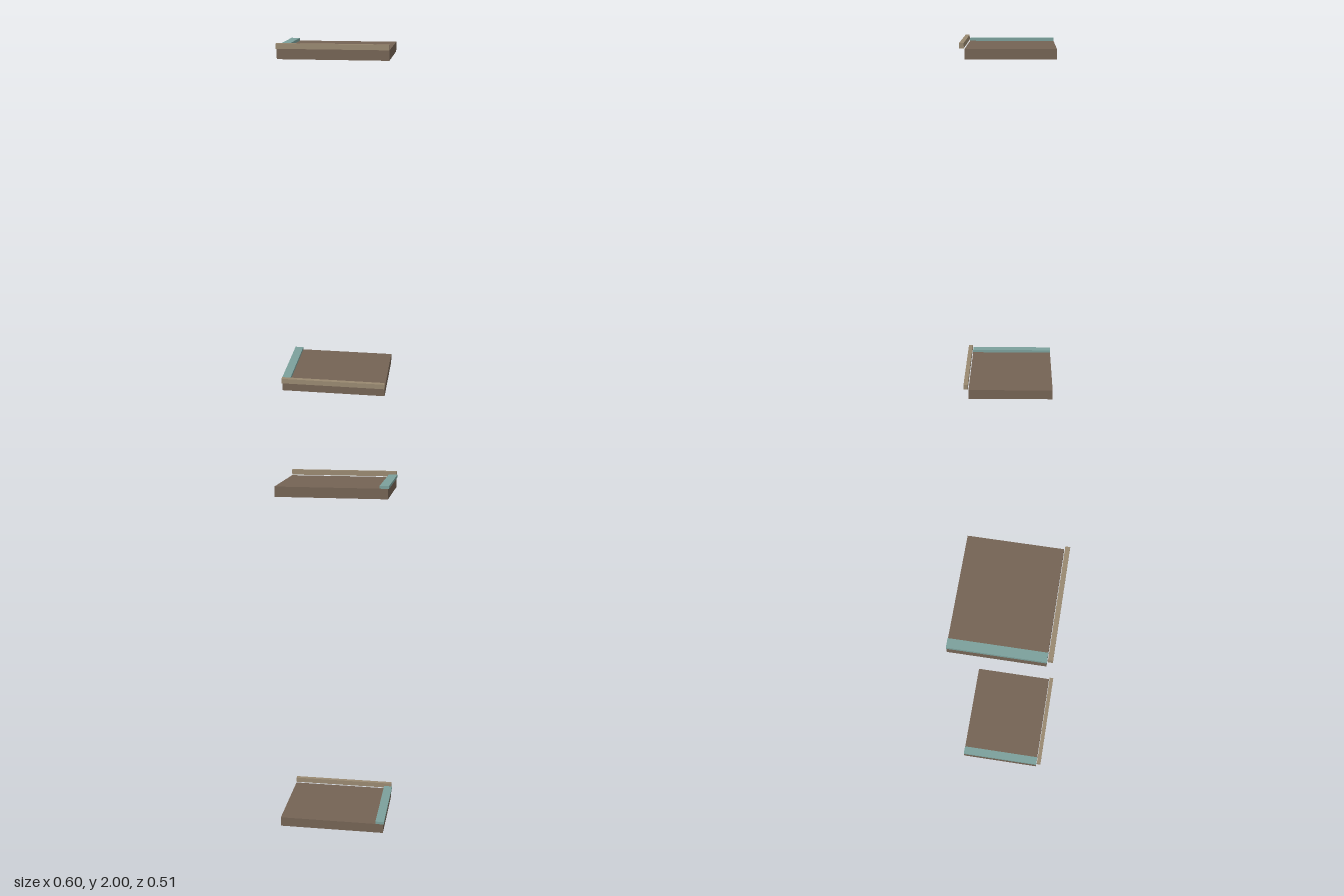
import * as THREE from 'three';

const material = (color) => new THREE.MeshStandardMaterial({ color });

// Box given by its minimum and maximum corners
function block(name, min, max, mat) {
  const size = max.map((v, i) => v - min[i]);
  const mesh = new THREE.Mesh(new THREE.BoxGeometry(...size), mat);
  mesh.position.set(...max.map((v, i) => (v + min[i]) / 2));
  mesh.name = name;
  return mesh;
}

export function createModel() {
  const model = new THREE.Group();
  model.name = 'stackedPlatforms';

  const slabMat = material(0x746354);
  const stripMat = material(0x7ba09b);
  const trimMat = material(0x988870);

  // Two identical platforms, one at the bottom and one at the top
  const levels = { lowerPlatform: 0, upperPlatform: 1.915 };
  for (const [name, y] of Object.entries(levels)) {
    const platform = new THREE.Group();
    platform.name = name;
    platform.position.y = y;
    platform.add(
      block('slab', [-0.296, 0, -0.253], [0.301, 0.054, 0.225], slabMat),
      // Side strip lying on the slab and overhanging it slightly
      block('sideStrip', [-0.301, 0.054, -0.253], [-0.252, 0.069, 0.225], stripMat),
      // Front rail, separated from the slab by a narrow gap
      block('frontRail', [-0.295, 0.057, 0.229], [0.301, 0.085, 0.253], trimMat),
    );
    model.add(platform);
  }
  return model;
}
